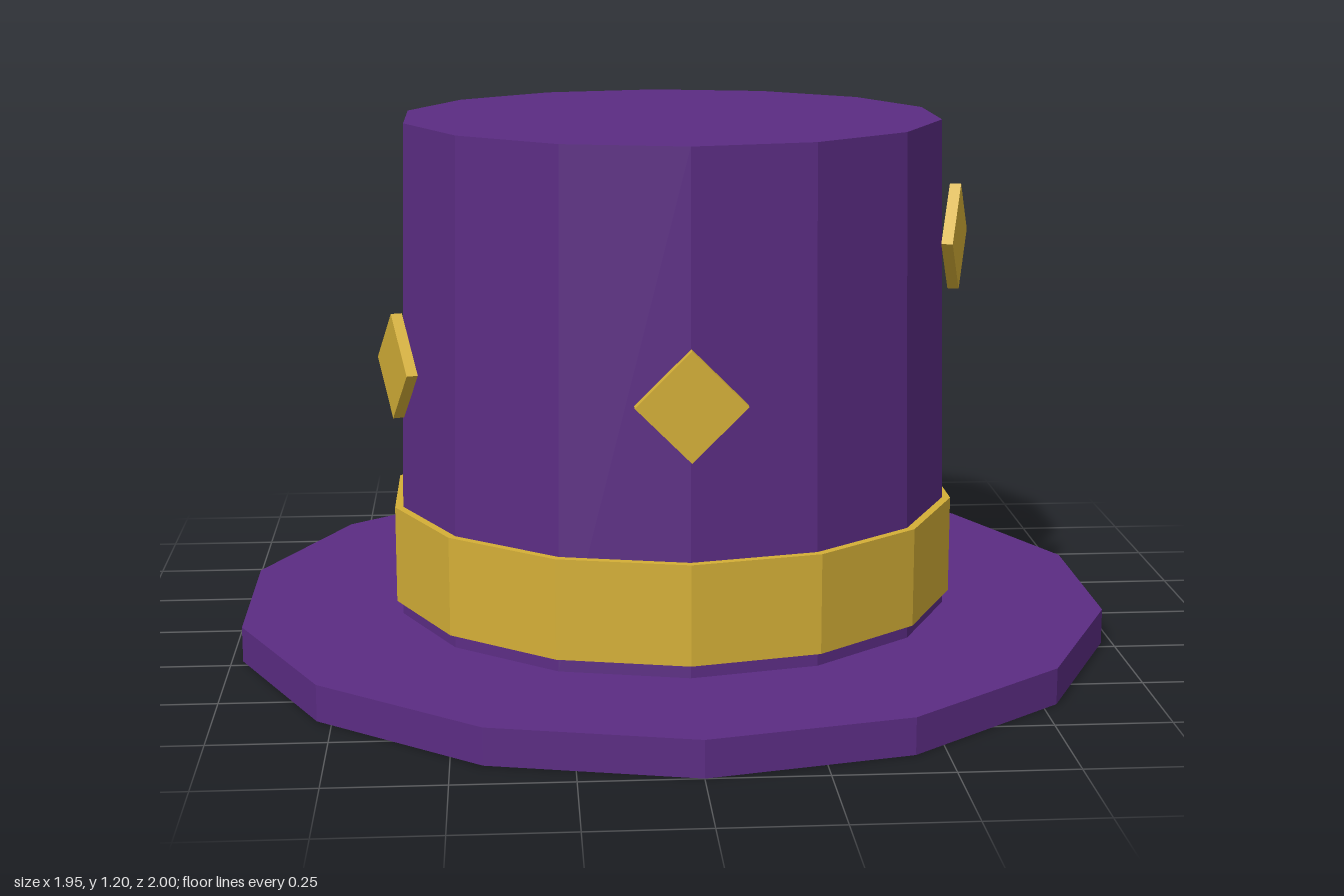
import * as THREE from 'three';

const SIDES = 14;

export function createModel() {
  const hat = new THREE.Group();
  hat.name = 'topHat';

  const purple = new THREE.MeshStandardMaterial({ color: 0x5b2c83, flatShading: true });
  purple.name = 'purple felt';
  const gold = new THREE.MeshStandardMaterial({ color: 0xd4af37, flatShading: true });
  gold.name = 'gold trim';

  // Faceted cylinder standing between two heights
  function drum(name, rTop, rBottom, y0, y1, material) {
    const mesh = new THREE.Mesh(new THREE.CylinderGeometry(rTop, rBottom, y1 - y0, SIDES), material);
    mesh.name = name;
    mesh.position.y = (y0 + y1) / 2;
    hat.add(mesh);
  }

  drum('brim', 1, 1, 0, 0.08, purple);
  drum('crown', 0.61, 0.635, 0.08, 1.195, purple);
  drum('band', 0.648, 0.648, 0.11, 0.33, gold);

  // Five diamond studs around the crown, alternating low and high
  const studGeometry = new THREE.BoxGeometry(0.166, 0.166, 0.025);
  studGeometry.rotateZ(Math.PI / 4);
  for (let i = 0; i < 5; i++) {
    const angle = (i / 5) * Math.PI * 2;
    const stud = new THREE.Mesh(studGeometry, gold);
    stud.name = `diamondStud${i + 1}`;
    stud.position.set(Math.sin(angle) * 0.648, i % 2 ? 0.943 : 0.667, Math.cos(angle) * 0.648);
    stud.rotation.y = angle;
    hat.add(stud);
  }

  return hat;
}
